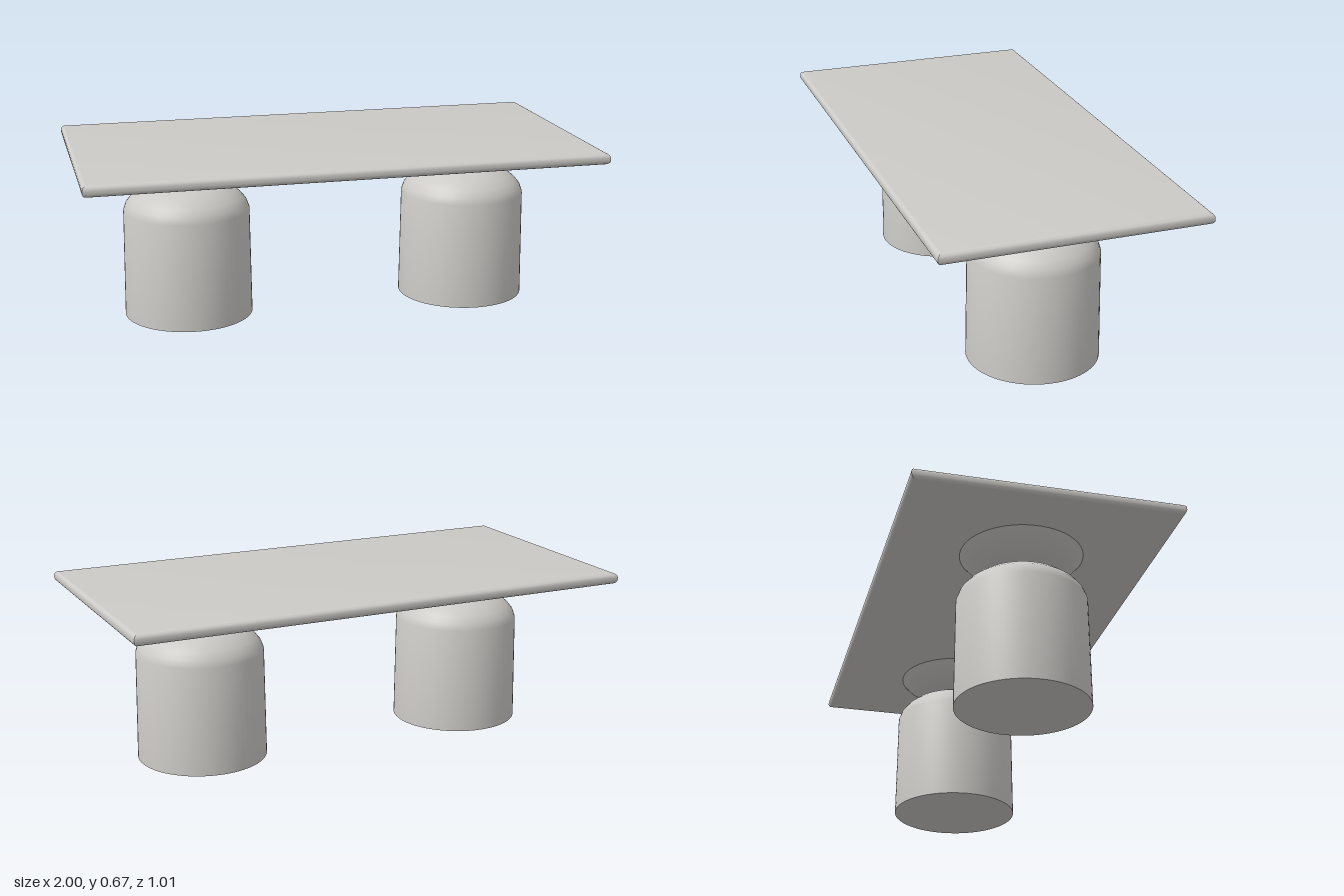
import * as THREE from 'three';
import { toCreasedNormals } from 'three/addons/utils/BufferGeometryUtils.js';

const HALF_X = 1, HALF_Z = 0.505, TOP = 0.67, BOTTOM = 0.627, ROUND = 0.018;

// Rectangular slab with rounded edges and sharp mitred corners
function slabGeometry() {
  const profile = []; // [inset, y] from the underside to the upper face
  const steps = 6;
  for (let i = 0; i <= steps; i++) {
    const a = (i / steps) * Math.PI / 2;
    profile.push([ROUND * (1 - Math.sin(a)), BOTTOM + ROUND * (1 - Math.cos(a))]);
  }
  for (let i = 0; i <= steps; i++) {
    const a = (i / steps) * Math.PI / 2;
    profile.push([ROUND * (1 - Math.cos(a)), TOP - ROUND * (1 - Math.sin(a))]);
  }
  const positions = [], index = [];
  for (const [inset, y] of profile) {
    const x = HALF_X - inset, z = HALF_Z - inset;
    positions.push(-x, y, z, x, y, z, x, y, -z, -x, y, -z);
  }
  for (let r = 0; r < profile.length - 1; r++) {
    for (let s = 0; s < 4; s++) {
      const a = r * 4 + s, b = r * 4 + (s + 1) % 4;
      index.push(a, b, b + 4, a, b + 4, a + 4);
    }
  }
  const t = (profile.length - 1) * 4;
  index.push(0, 2, 1, 0, 3, 2, t, t + 1, t + 2, t, t + 2, t + 3);
  const geometry = new THREE.BufferGeometry();
  geometry.setAttribute('position', new THREE.Float32BufferAttribute(positions, 3));
  geometry.setIndex(index);
  return toCreasedNormals(geometry, 0.6);
}

function turned(points) {
  const profile = points.map(([r, y]) => new THREE.Vector2(r, y));
  return toCreasedNormals(new THREE.LatheGeometry(profile, 64), 0.7);
}

export function createModel() {
  const model = new THREE.Group();
  model.name = 'table';
  const stone = new THREE.MeshStandardMaterial({ color: 0xcccac6 });
  stone.name = 'paleStone';

  const add = (parent, name, geometry) => {
    const mesh = new THREE.Mesh(geometry, stone);
    mesh.name = name;
    parent.add(mesh);
  };

  add(model, 'tableTop', slabGeometry());

  // Slightly tapered drum with a domed shoulder
  const drum = turned([
    [0, 0], [0.253, 0], [0.247, 0.425], [0.237, 0.453], [0.218, 0.477], [0.19, 0.5],
    [0.152, 0.52], [0.11, 0.533], [0.07, 0.541], [0, 0.541],
  ]);
  // Shallow bowl carrying the top
  const bowl = turned([
    [0, 0.54], [0.07, 0.541], [0.11, 0.549], [0.152, 0.565], [0.19, 0.587],
    [0.218, 0.609], [0.237, 0.63],
  ]);

  for (const [name, x] of [['rightPedestal', -0.56], ['leftPedestal', 0.577]]) {
    const pedestal = new THREE.Group();
    pedestal.name = name;
    pedestal.position.set(x, 0, 0.004);
    add(pedestal, 'drum', drum);
    add(pedestal, 'bowl', bowl);
    model.add(pedestal);
  }
  return model;
}
